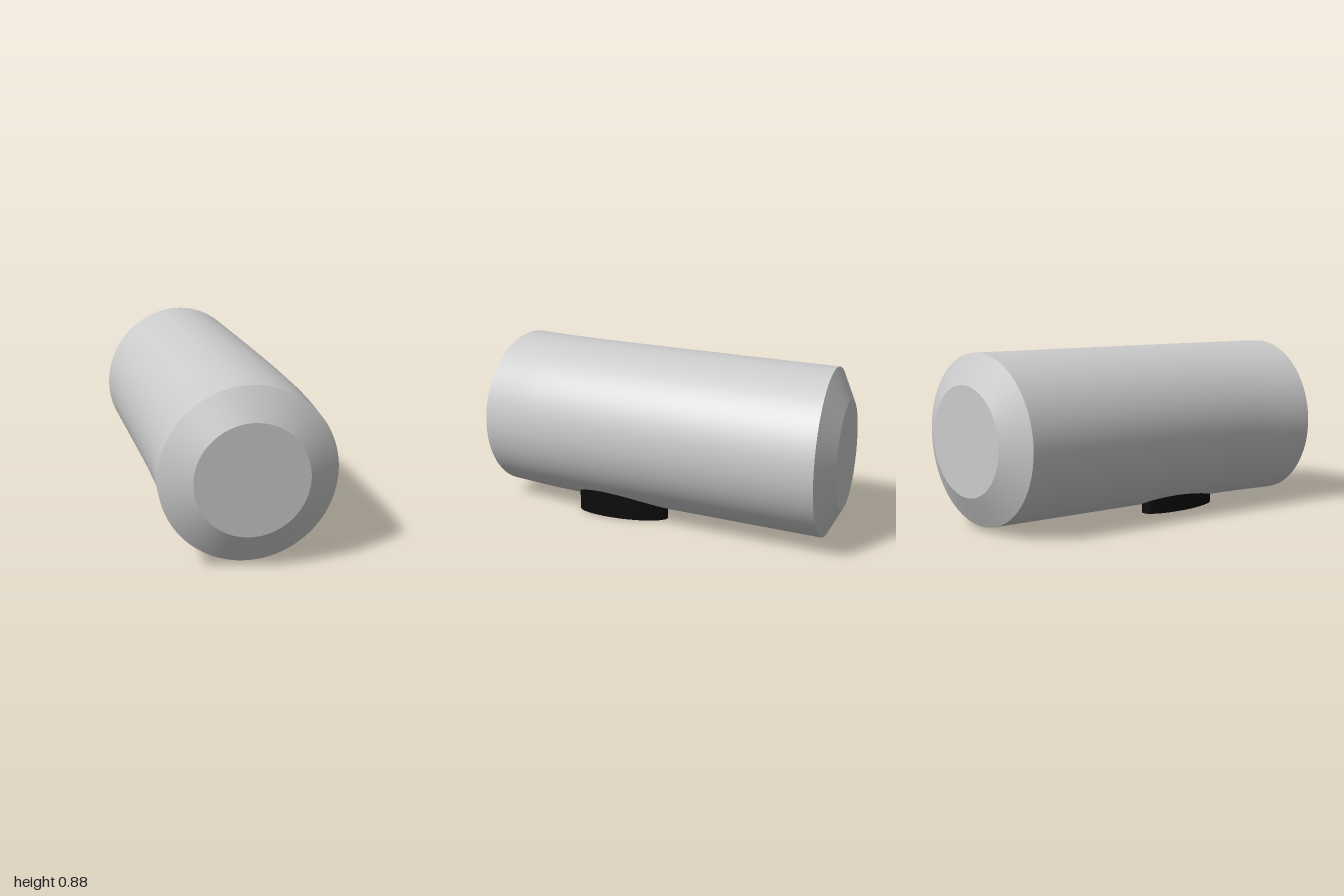
import * as THREE from 'three';

const SEG = 96, CY = 0.451, R = 0.428, CAP_R = 0.275;
const grey = new THREE.MeshStandardMaterial({ color: 0xcccccc });
const black = new THREE.MeshStandardMaterial({ color: 0x0b0b0b });

// Skin through upright rings, listed from back to front: { x, z, turn, r }
function loft(name, rings) {
  const pos = [], index = [];
  for (const { x, z, turn, r } of rings) {
    for (let i = 0; i < SEG; i++) {
      const a = (i / SEG) * Math.PI * 2, u = r * Math.cos(a);
      pos.push(x + u * Math.cos(turn), CY + r * Math.sin(a), z + u * Math.sin(turn));
    }
  }
  for (let j = 0; j < rings.length - 1; j++) {
    for (let i = 0; i < SEG; i++) {
      const k = (i + 1) % SEG, a = j * SEG + i, b = j * SEG + k;
      index.push(a, b, a + SEG, b, b + SEG, a + SEG);
    }
  }
  const g = new THREE.BufferGeometry();
  g.setAttribute('position', new THREE.Float32BufferAttribute(pos, 3));
  g.setIndex(index);
  // Orient outward whichever way the rings were wound
  g.computeVertexNormals();
  if (g.attributes.normal.getX(0) < 0) {
    g.setIndex(index.reverse());
    g.computeVertexNormals();
  }
  const mesh = new THREE.Mesh(g, grey);
  mesh.name = name;
  return mesh;
}

function endDisc(name, ring, flip) {
  const mesh = new THREE.Mesh(new THREE.CircleGeometry(ring.r, SEG), grey);
  mesh.position.set(ring.x, CY, ring.z);
  mesh.rotation.y = -ring.turn + (flip ? Math.PI : 0);
  mesh.name = name;
  return mesh;
}

// Oval foot whose top is buried in the body, with a flush screw underneath
function foot(name, x) {
  const group = new THREE.Group();
  group.name = name;
  const pad = new THREE.Mesh(new THREE.CylinderGeometry(1, 1, 0.148, 64), black);
  pad.scale.set(0.09, 1, 0.25);
  pad.position.set(x, 0.075, 0.18);
  pad.name = 'footPad';
  const screw = new THREE.Mesh(new THREE.CylinderGeometry(0.038, 0.038, 0.02, 32), grey);
  screw.position.set(x, 0.01, 0.3);
  screw.name = 'footScrew';
  group.add(pad, screw);
  return group;
}

export function createModel() {
  const model = new THREE.Group();
  model.name = 'bentCylinder';

  // Curved centre line: x, z and the turn of each section
  const path = new THREE.CatmullRomCurve3([
    [0.132, -0.92, 0.012], [0.072, -0.45, 0.08], [0.013, 0, 0.115],
    [-0.03, 0.3, 0.14], [-0.08, 0.6, 0.16], [-0.142, 0.862, 0.18],
  ].map((p) => new THREE.Vector3(...p)));
  const rings = path.getPoints(40).map((p) => ({ x: p.x, z: p.y, turn: p.z, r: R }));
  model.add(loft('body', rings));

  // Bevelled ends with flat discs
  const back = { x: 0.143, z: -0.998, turn: 0.012, r: CAP_R };
  const front = { x: -0.159, z: 0.944, turn: 0.18, r: CAP_R };
  model.add(loft('backBevel', [back, rings[0]]));
  model.add(loft('frontBevel', [rings[rings.length - 1], front]));
  model.add(endDisc('backDisc', back, true), endDisc('frontDisc', front, false));

  model.add(foot('leftFoot', 0.185), foot('rightFoot', -0.145));
  return model;
}
